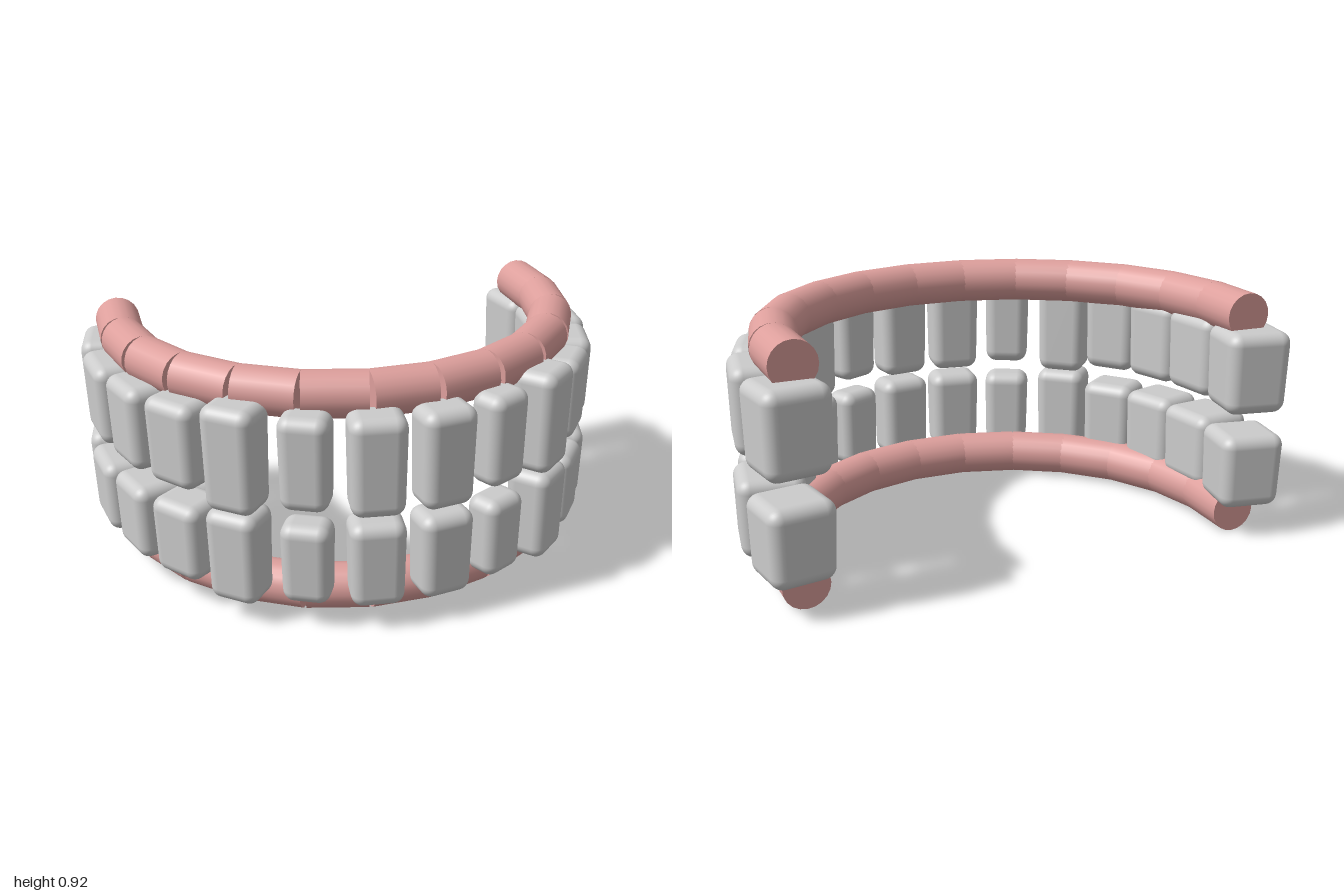
import * as THREE from 'three';
import { RoundedBoxGeometry } from 'three/addons/geometries/RoundedBoxGeometry.js';

const GUM_RADIUS = 0.083;
const gumMaterial = new THREE.MeshStandardMaterial({ color: 0xdd9f9c });
const toothMaterial = new THREE.MeshStandardMaterial({ color: 0xcccccc });

// Joints of one half of the gum arch, front to back: [x, z]
const joints = [
  [0.112, 0.443], [0.332, 0.383], [0.525, 0.268], [0.685, 0.105],
  [0.79, -0.09], [0.838, -0.305], [0.834, -0.533],
];

// One half of the teeth, front to back.
// x, z: centre; turn: outward angle in degrees; w, d: width and depth;
// upper, lower: bottom and top heights in each jaw
const teeth = [
  { name: 'centralIncisor', x: 0.118, z: 0.55, turn: 8, w: 0.2, d: 0.16, upper: [0.445, 0.81], lower: [0.095, 0.42] },
  { name: 'lateralIncisor', x: 0.345, z: 0.49, turn: 27, w: 0.18, d: 0.14, upper: [0.465, 0.81], lower: [0.105, 0.41] },
  { name: 'canine', x: 0.558, z: 0.37, turn: 41, w: 0.2, d: 0.17, upper: [0.435, 0.825], lower: [0.083, 0.435] },
  { name: 'firstPremolar', x: 0.705, z: 0.19, turn: 52, w: 0.215, d: 0.19, upper: [0.475, 0.795], lower: [0.11, 0.407] },
  { name: 'secondPremolar', x: 0.81, z: -0.015, turn: 72, w: 0.23, d: 0.21, upper: [0.475, 0.79], lower: [0.113, 0.405] },
  { name: 'firstMolar', x: 0.866, z: -0.25, turn: 82, w: 0.25, d: 0.235, upper: [0.48, 0.787], lower: [0.118, 0.4] },
  { name: 'secondMolar', x: 0.858, z: -0.515, turn: 100, w: 0.235, d: 0.24, upper: [0.48, 0.783], lower: [0.118, 0.397] },
];

// Soft block, slightly narrower at the bottom
function toothGeometry(w, h, d) {
  const geometry = new RoundedBoxGeometry(w, h, d, 4, 0.045);
  const p = geometry.attributes.position;
  for (let i = 0; i < p.count; i++) {
    const s = 0.97 + 0.06 * (p.getY(i) / h);
    p.setX(i, p.getX(i) * s);
    p.setZ(i, p.getZ(i) * s);
  }
  return geometry;
}

// Straight gum pieces joined end to end, leaving notches on the outer bends
function makeGum(name, y, xScale) {
  const gum = new THREE.Group();
  gum.name = name;
  const half = joints.map(([x, z]) => new THREE.Vector3(x * xScale, y, z));
  const mirrored = half.map((v) => new THREE.Vector3(-v.x, v.y, v.z));
  const path = [...mirrored.reverse(), ...half];
  for (let i = 0; i < path.length - 1; i++) {
    const along = path[i + 1].clone().sub(path[i]);
    const piece = new THREE.Mesh(
      new THREE.CylinderGeometry(GUM_RADIUS, GUM_RADIUS, along.length(), 20), gumMaterial);
    piece.name = 'gumSegment';
    piece.position.copy(path[i]).addScaledVector(along, 0.5);
    piece.quaternion.setFromUnitVectors(new THREE.Vector3(0, 1, 0), along.normalize());
    gum.add(piece);
  }
  return gum;
}

// Mirrored row of teeth for one jaw
function makeTeeth(jaw) {
  const row = new THREE.Group();
  row.name = jaw + 'Teeth';
  for (const t of teeth) {
    const [bottom, top] = t[jaw];
    const geometry = toothGeometry(t.w, top - bottom, t.d);
    for (const side of [1, -1]) {
      const tooth = new THREE.Mesh(geometry, toothMaterial);
      tooth.name = t.name;
      tooth.position.set(side * t.x, (bottom + top) / 2, t.z);
      tooth.rotation.y = side * THREE.MathUtils.degToRad(t.turn);
      row.add(tooth);
    }
  }
  return row;
}

export function createModel() {
  const model = new THREE.Group();
  model.name = 'teethAndGums';
  model.add(makeGum('upperGum', 0.832, 1), makeTeeth('upper'));
  model.add(makeGum('lowerGum', GUM_RADIUS, 0.988), makeTeeth('lower'));
  return model;
}
